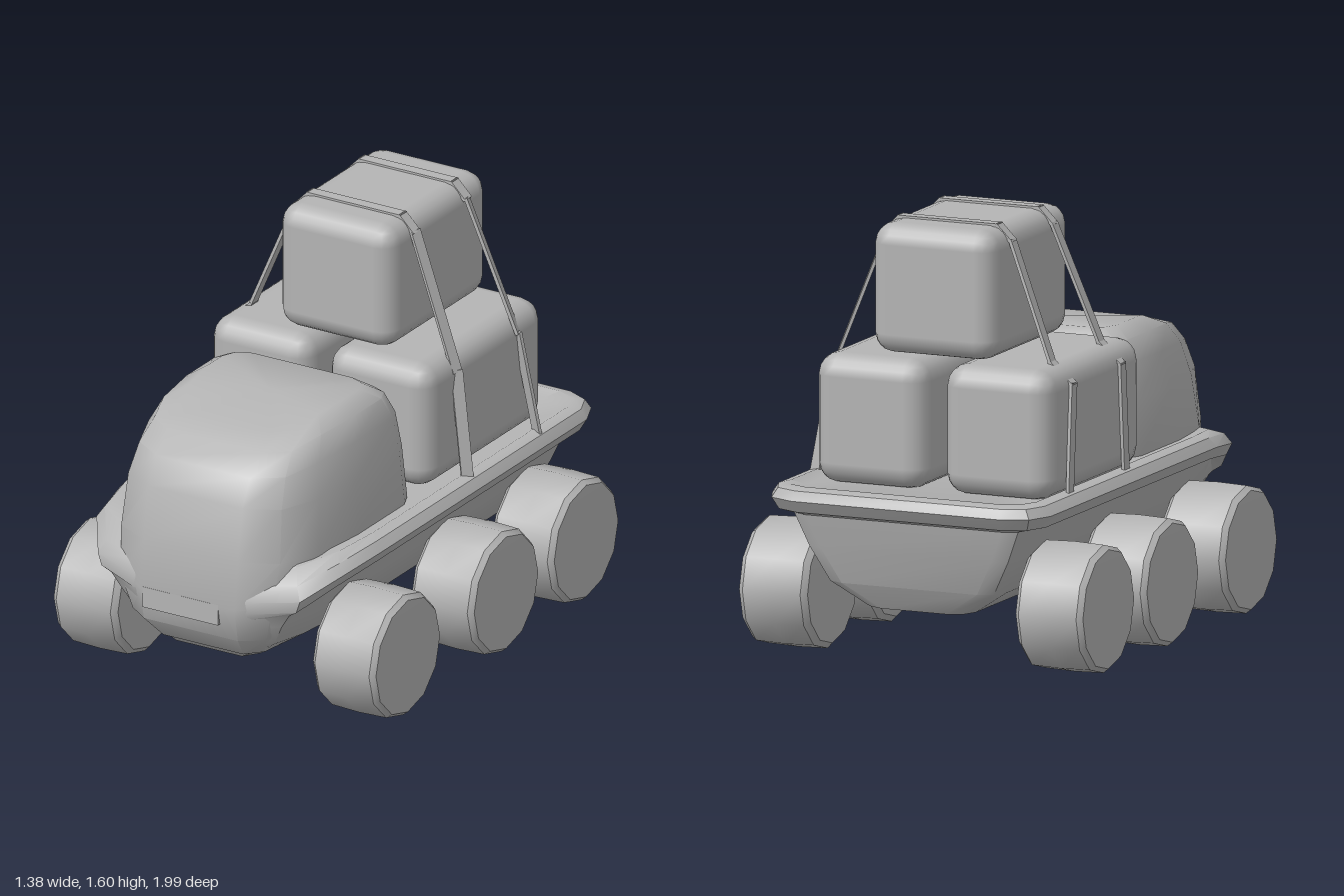
import * as THREE from 'three';
import { toCreasedNormals } from 'three/addons/utils/BufferGeometryUtils.js';
import { RoundedBoxGeometry } from 'three/addons/geometries/RoundedBoxGeometry.js';

const grey = new THREE.MeshStandardMaterial({ color: 0xb4b4b4 });
grey.name = 'plain grey';

function add(parent, name, geometry, x = 0, y = 0, z = 0) {
  const mesh = new THREE.Mesh(geometry, grey);
  mesh.name = name;
  mesh.position.set(x, y, z);
  parent.add(mesh);
  return mesh;
}

// Plan outline at height y: chamfered back, straight flanks, tapered front.
// w half width, wf half width at the front, drop lowers the front edge.
function outline({ y, w, wf, zf, zb, taper = 0.4, drop = 0, c = 0.08 }) {
  const half = [
    [w - c, zb, y], [w - c * 0.3, zb + c * 0.3, y], [w, zb + c, y],
    [w, zf - taper, y],
    [w * 0.94, zf - taper * 0.5, y - drop * 0.2],
    [w * 0.6 + wf * 0.4, zf - taper * 0.15, y - drop * 0.8],
    [wf, zf, y - drop],
  ];
  const right = half.map(([x, z, h]) => new THREE.Vector3(x, h, z));
  const left = half.map(([x, z, h]) => new THREE.Vector3(-x, h, z)).reverse();
  return [...right, ...left];
}

// Skin a stack of outlines and close both ends.
function loft(levels, crease) {
  const rings = levels.map(outline);
  const n = rings[0].length;
  const pos = [];
  const tri = (...pts) => pts.forEach((p) => pos.push(p.x, p.y, p.z));
  for (let i = 0; i < rings.length - 1; i++) {
    for (let j = 0; j < n; j++) {
      const k = (j + 1) % n;
      const a = rings[i][j], b = rings[i][k], c = rings[i + 1][j], d = rings[i + 1][k];
      tri(a, c, b);
      tri(b, c, d);
    }
  }
  const cap = (ring, up) => {
    const mid = ring.reduce((s, p) => s.add(p), new THREE.Vector3()).divideScalar(n);
    ring.forEach((p, j) => {
      const q = ring[(j + 1) % n];
      if (up) tri(mid, q, p); else tri(mid, p, q);
    });
  };
  cap(rings[0], false);
  cap(rings[rings.length - 1], true);
  const g = new THREE.BufferGeometry();
  g.setAttribute('position', new THREE.Float32BufferAttribute(pos, 3));
  return toCreasedNormals(g, crease);
}

// Flat band following a polyline of [x, y, z].
function strap(parent, name, points) {
  const group = new THREE.Group();
  group.name = name;
  parent.add(group);
  for (let i = 0; i < points.length - 1; i++) {
    const a = new THREE.Vector3(...points[i]);
    const b = new THREE.Vector3(...points[i + 1]);
    const dir = b.clone().sub(a);
    const m = add(group, name + 'Section', new THREE.BoxGeometry(0.012, dir.length() + 0.01, 0.045));
    m.position.copy(a).add(b).multiplyScalar(0.5);
    m.quaternion.setFromUnitVectors(new THREE.Vector3(0, 1, 0), dir.normalize());
  }
}

export function createModel() {
  const truck = new THREE.Group();
  truck.name = 'sixWheelTruck';

  // Boat-shaped tub with an overhanging rim and flat deck
  add(truck, 'hull', loft([
    { y: 0.22, w: 0.21, wf: 0.14, zf: 0.84, zb: -0.84 },
    { y: 0.31, w: 0.35, wf: 0.2, zf: 0.92, zb: -0.88 },
    { y: 0.44, w: 0.42, wf: 0.22, zf: 0.95, zb: -0.91, drop: 0.05 },
    { y: 0.56, w: 0.47, wf: 0.24, zf: 0.96, zb: -0.93, drop: 0.13 },
    { y: 0.575, w: 0.53, wf: 0.24, zf: 0.97, zb: -0.97, drop: 0.12, c: 0.12 },
    { y: 0.62, w: 0.555, wf: 0.24, zf: 0.97, zb: -1.0, drop: 0.12, c: 0.14 },
    { y: 0.655, w: 0.53, wf: 0.22, zf: 0.95, zb: -0.98, drop: 0.1, c: 0.12 },
    { y: 0.665, w: 0.49, wf: 0.2, zf: 0.9, zb: -0.94, drop: 0.05, c: 0.1 },
    { y: 0.645, w: 0.45, wf: 0.2, zf: 0.85, zb: -0.9, c: 0.1 },
  ], 0.6));

  // Rounded cab and nose
  add(truck, 'cab', loft([
    { y: 0.25, w: 0.26, wf: 0.17, zf: 0.88, zb: 0.3 },
    { y: 0.34, w: 0.34, wf: 0.2, zf: 0.965, zb: 0.25 },
    { y: 0.47, w: 0.4, wf: 0.2, zf: 0.99, zb: 0.2 },
    { y: 0.65, w: 0.43, wf: 0.2, zf: 0.965, zb: 0.11, taper: 0.45 },
    { y: 0.85, w: 0.41, wf: 0.2, zf: 0.935, zb: 0.115, taper: 0.45 },
    { y: 0.98, w: 0.385, wf: 0.2, zf: 0.88, zb: 0.12, taper: 0.42, drop: 0.03 },
    { y: 1.06, w: 0.355, wf: 0.2, zf: 0.8, zb: 0.15, taper: 0.38, drop: 0.04 },
    { y: 1.1, w: 0.29, wf: 0.16, zf: 0.68, zb: 0.2, taper: 0.3, drop: 0.045 },
  ], 0.75));
  add(truck, 'bumperPlate', new THREE.BoxGeometry(0.32, 0.08, 0.02), -0.03, 0.435, 0.98);

  // Six wheels
  const tyre = new THREE.LatheGeometry([
    [0, -0.145], [0.215, -0.135], [0.236, -0.115], [0.24, 0],
    [0.236, 0.115], [0.22, 0.135], [0, 0.14],
  ].map(([r, h]) => new THREE.Vector2(r, h)), 12);
  const wheelGeometry = toCreasedNormals(tyre, 0.6).rotateZ(-Math.PI / 2);
  for (const [row, z] of [['front', 0.58], ['middle', -0.095], ['rear', -0.645]]) {
    for (const [side, s] of [['Left', 1], ['Right', -1]]) {
      const wheel = add(truck, row + side + 'Wheel', wheelGeometry, s * 0.55, 0.25, z);
      wheel.rotation.y = s < 0 ? Math.PI : 0;
    }
  }

  // Stacked cargo
  const box = (name, w, h, d, r, x, y, z) =>
    add(truck, name, new RoundedBoxGeometry(w, h, d, 2, r), x, y, z);
  box('leftBale', 0.44, 0.48, 0.82, 0.08, 0.225, 0.88, -0.35);
  box('rightBale', 0.43, 0.48, 0.82, 0.08, -0.285, 0.88, -0.355);
  box('topBale', 0.49, 0.48, 0.69, 0.075, 0.005, 1.363, -0.345);

  // Tie-down straps over the load
  for (const [name, low, high] of [['frontStrap', -0.12, -0.165], ['rearStrap', -0.6, -0.52]]) {
    const mid = (low + high) / 2;
    strap(truck, name, [
      [-0.51, 0.65, low], [-0.505, 1.05, mid], [-0.42, 1.125, mid],
      [-0.245, 1.55, high], [-0.19, 1.605, high], [0.2, 1.605, high],
      [0.255, 1.55, high], [0.445, 1.05, mid], [0.505, 0.65, low],
    ]);
  }
  return truck;
}
